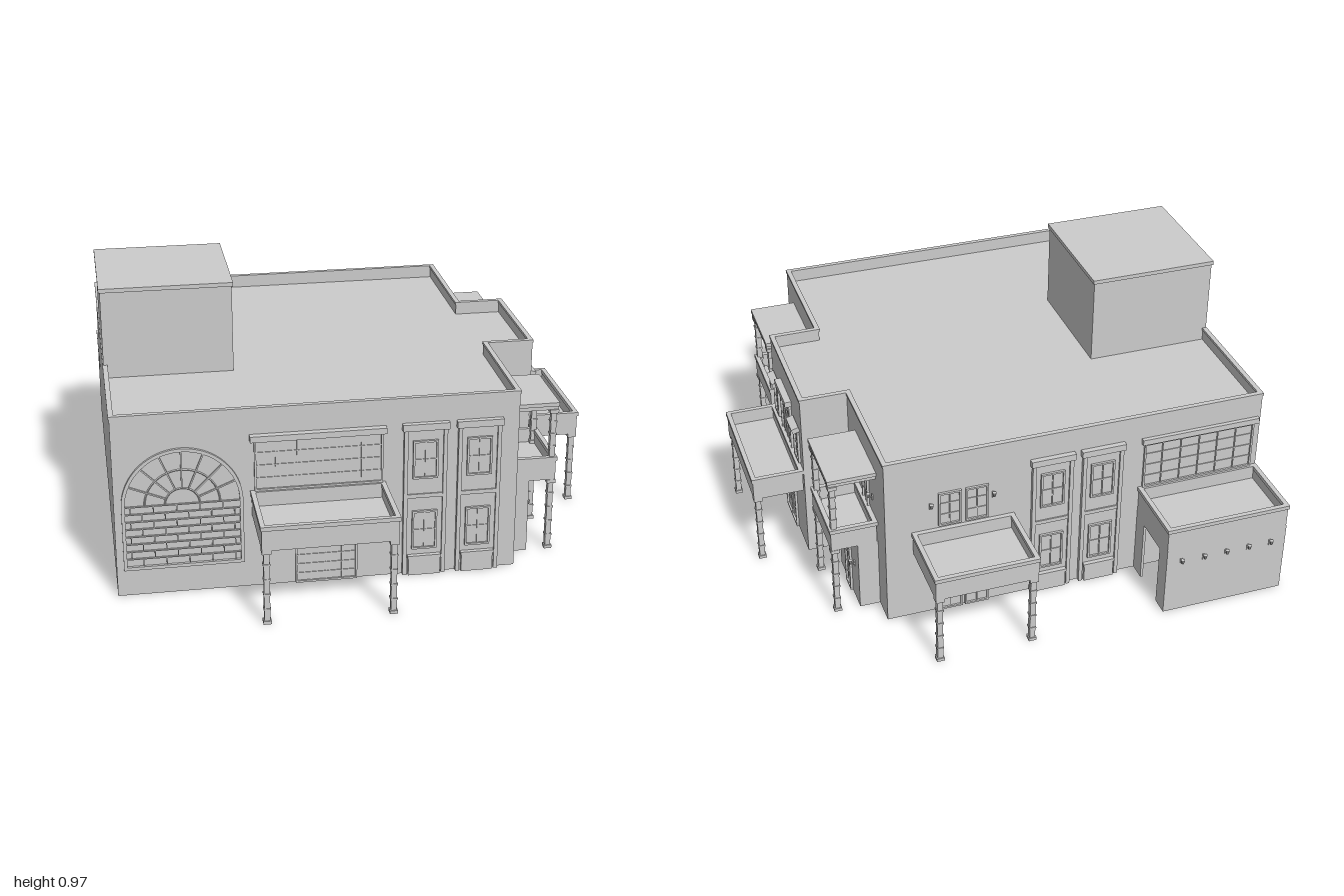
import * as THREE from 'three';

const mat = new THREE.MeshStandardMaterial({ color: 0xcccccc, flatShading: true, side: THREE.DoubleSide });

function add(parent, geo, name) {
  const m = new THREE.Mesh(geo, mat);
  m.name = name;
  parent.add(m);
  return m;
}

// Box given by its limits on each axis
function box(parent, name, x0, x1, y0, y1, z0, z1) {
  const m = add(parent, new THREE.BoxGeometry(x1 - x0, y1 - y0, z1 - z0), name);
  m.position.set((x0 + x1) / 2, (y0 + y1) / 2, (z0 + z1) / 2);
  return m;
}

function group(parent, name) {
  const g = new THREE.Group();
  g.name = name;
  parent.add(g);
  return g;
}

// Local frame on a wall: x along it, y up, z outward
function wall(parent, name, x, z, angle) {
  const g = group(parent, name);
  g.position.set(x, 0, z);
  g.rotation.y = angle;
  return g;
}

// Floor plan (x, z) extruded upward, with an optional hole
function plan(parent, name, pts, y0, y1, hole) {
  const toVec = p => new THREE.Vector2(p[0], -p[1]);
  const s = new THREE.Shape(pts.map(toVec));
  if (hole) s.holes.push(new THREE.Path(hole.map(toVec)));
  const geo = new THREE.ExtrudeGeometry(s, { depth: y1 - y0, bevelEnabled: false });
  geo.rotateX(-Math.PI / 2);
  add(parent, geo, name).position.y = y0;
}

const rect = (x0, x1, z0, z1, i = 0) => [[x0 + i, z0 + i], [x1 - i, z0 + i], [x1 - i, z1 - i], [x0 + i, z1 - i]];

// Deck with a low parapet and coping
function deck(parent, name, x0, x1, z0, z1) {
  const g = group(parent, name);
  box(g, 'deckFloor', x0 + 0.004, x1 - 0.004, 0.28, 0.315, z0 + 0.004, z1 - 0.004);
  plan(g, 'deckParapet', rect(x0 + 0.004, x1 - 0.004, z0 + 0.004, z1 - 0.004), 0.28, 0.355, rect(x0, x1, z0, z1, 0.014));
  plan(g, 'deckCoping', rect(x0, x1, z0, z1), 0.355, 0.37, rect(x0, x1, z0, z1, 0.017));
}

// Banded square post
function column(parent, x, z, y0, y1) {
  const g = group(parent, 'column');
  const part = (name, w, a, b) => box(g, name, x - w, x + w, a, b, z - w, z + w);
  part('columnShaft', 0.01, y0, y1);
  part('columnBase', 0.014, y0, y0 + 0.012);
  part('columnCapital', 0.016, y1 - 0.014, y1);
  for (let i = 1; i < 5; i++) {
    const y = y0 + (y1 - y0) * i / 5;
    part('columnBand', 0.0125, y - 0.003, y + 0.003);
  }
}

// Wall lamp: plate, arm, flared shade
function lamp(w, x, y, z = 0) {
  const g = group(w, 'wallLamp');
  g.position.set(x, y, z);
  box(g, 'lampPlate', -0.004, 0.004, -0.012, 0.012, 0, 0.004);
  box(g, 'lampArm', -0.002, 0.002, -0.002, 0.002, 0, 0.016);
  add(g, new THREE.CylinderGeometry(0.008, 0.004, 0.016, 8), 'lampShade').position.set(0, 0.008, 0.016);
}

// Frame with a grid of glazing bars, and optional cornice
function windowGrid(w, name, x0, x1, y0, y1, cols, rows, z = 0) {
  const g = group(w, name);
  const t = 0.007, zo = z + 0.009;
  box(g, 'windowPane', x0, x1, y0, y1, z, z + 0.002);
  for (const x of [x0, x1 - t]) box(g, 'frameSide', x, x + t, y0, y1, z, zo);
  for (const y of [y0, y1 - t]) box(g, 'frameRail', x0 + t, x1 - t, y, y + t, z, zo);
  for (let i = 1; i < cols; i++) {
    const x = x0 + (x1 - x0) * i / cols;
    box(g, 'verticalBar', x - 0.002, x + 0.002, y0 + t, y1 - t, z, z + 0.006);
  }
  for (let i = 1; i < rows; i++) {
    const y = y0 + (y1 - y0) * i / rows;
    box(g, 'crossBar', x0 + t, x1 - t, y - 0.002, y + 0.002, z, z + 0.005);
  }
}

// Tall shallow bay holding two windows and a planter
function windowBay(w, cx) {
  const g = group(w, 'windowBay');
  g.position.x = cx;
  box(g, 'bayPanel', -0.075, 0.075, 0, 0.56, 0, 0.007);
  for (const s of [-1, 1]) box(g, 'bayPilaster', s * 0.07 - 0.007, s * 0.07 + 0.007, 0, 0.56, 0, 0.015);
  box(g, 'bayCornice', -0.083, 0.083, 0.56, 0.585, 0, 0.02);
  box(g, 'bayMidBand', -0.063, 0.063, 0.3, 0.315, 0.007, 0.012);
  windowGrid(g, 'upperWindow', -0.045, 0.045, 0.375, 0.52, 2, 2, 0.007);
  windowGrid(g, 'lowerWindow', -0.045, 0.045, 0.1, 0.25, 2, 2, 0.007);
  box(g, 'planter', -0.057, 0.057, 0, 0.07, 0.007, 0.02);
  box(g, 'planterRim', -0.06, 0.06, 0.066, 0.077, 0.007, 0.023);
}

// Arched window outline
function archShape(r, h, C = THREE.Shape) {
  const s = new C();
  s.moveTo(-r, -h);
  s.lineTo(r, -h);
  s.lineTo(r, 0);
  s.absarc(0, 0, r, 0, Math.PI, false);
  s.lineTo(-r, -h);
  return s;
}

function archWindow(w) {
  const g = group(w, 'archWindow');
  g.position.set(-0.66, 0.34, 0);
  const frame = archShape(0.21, 0.24);
  frame.holes.push(archShape(0.198, 0.228, THREE.Path));
  add(g, new THREE.ExtrudeGeometry(frame, { depth: 0.01, bevelEnabled: false, curveSegments: 24 }), 'archFrame');
  for (let i = 1; i < 8; i++) {
    const a = Math.PI * i / 8;
    const bar = add(g, new THREE.BoxGeometry(0.14, 0.005, 0.006), 'fanBar');
    bar.position.set(Math.cos(a) * 0.13, Math.sin(a) * 0.13, 0.003);
    bar.rotation.z = a;
  }
  for (const r of [0.06, 0.13]) add(g, new THREE.TorusGeometry(r, 0.003, 4, 24, Math.PI), 'fanRing').position.z = 0.003;
  for (let i = 0; i < 8; i++) {
    const y = -i * 0.0285;
    box(g, 'slat', -0.198, 0.198, y - 0.002, y + 0.002, 0, 0.006);
    for (let j = -2; j <= 2; j++) {
      const x = j * 0.08 + (i % 2 ? 0.02 : -0.02);
      box(g, 'slatJoint', x - 0.002, x + 0.002, y - 0.0285, y, 0, 0.005);
    }
  }
}

export function createModel() {
  const model = new THREE.Group();
  model.name = 'building';

  // Main body, roof parapet and coping, following a stepped plan
  const outline = i => [
    [-0.895 + i, 0.715 - i], [0.525 - i, 0.715 - i], [0.525 - i, 0.24 - i], [0.7 - i, 0.24 - i],
    [0.7 - i, -0.23 + i], [0.525 - i, -0.23 + i], [0.525 - i, -0.705 + i], [-0.895 + i, -0.705 + i]];
  plan(model, 'mainBody', outline(0), 0, 0.63);
  plan(model, 'roofParapet', outline(0), 0.63, 0.67, outline(0.012));
  plan(model, 'roofCoping', outline(-0.003), 0.67, 0.68, outline(0.015));

  // Roof tower
  box(model, 'roofTower', -0.895, -0.425, 0.63, 0.955, -0.225, 0.24);
  box(model, 'towerCap', -0.9, -0.42, 0.955, 0.97, -0.23, 0.245);

  // Front wall and porch
  const front = wall(model, 'frontWall', 0, 0.715, 0);
  archWindow(front);
  for (const x of [0.19, 0.383]) windowBay(front, x);
  windowGrid(front, 'porchUpperWindow', -0.41, 0.04, 0.37, 0.56, 6, 4);
  box(front, 'porchWindowHood', -0.425, 0.05, 0.56, 0.582, 0, 0.025);
  windowGrid(front, 'porchDoors', -0.27, -0.05, 0, 0.25, 4, 7);
  for (const x of [-0.355, -0.015]) lamp(front, x, 0.16);
  deck(model, 'frontPorch', -0.425, 0.05, 0.715, 1);
  for (const x of [-0.405, 0.03]) column(model, x, 0.98, 0, 0.28);

  // Back wall and balcony
  const back = wall(model, 'backWall', 0, -0.705, Math.PI);
  for (const x of [0.28, 0.09]) windowBay(back, x);
  windowGrid(back, 'annexUpperWindow', 0.44, 0.87, 0.37, 0.56, 6, 4);
  box(back, 'annexWindowHood', 0.43, 0.885, 0.56, 0.582, 0, 0.015);
  for (const x of [-0.29, -0.19]) {
    windowGrid(back, 'balconyWindow', x - 0.042, x + 0.042, 0.38, 0.52, 2, 3);
    windowGrid(back, 'balconyDoor', x - 0.045, x + 0.045, 0, 0.24, 2, 4);
  }
  for (const x of [-0.36, -0.13]) for (const y of [0.17, 0.47]) lamp(back, x, y);
  deck(model, 'backBalcony', 0.05, 0.43, -0.98, -0.705);
  for (const x of [0.07, 0.41]) column(model, x, -0.96, 0, 0.28);

  // Annex shell at the back, open below, with a side doorway
  const annex = group(model, 'annex');
  deck(annex, 'annexRoof', -0.897, -0.425, -0.98, -0.705);
  box(annex, 'annexBackWall', -0.895, -0.43, 0, 0.28, -0.976, -0.966);
  box(annex, 'annexOuterWall', -0.895, -0.885, 0, 0.28, -0.966, -0.705);
  box(annex, 'doorwayPier', -0.44, -0.43, 0, 0.28, -0.966, -0.91);
  box(annex, 'doorwayPier', -0.44, -0.43, 0, 0.28, -0.77, -0.705);
  box(annex, 'doorwayLintel', -0.44, -0.43, 0.24, 0.28, -0.91, -0.77);
  for (let i = 0; i < 5; i++) lamp(back, 0.485 + i * 0.087, 0.22, 0.27);

  // Centre bay of the side, with its balcony
  const bay = wall(model, 'centreBayWall', 0.7, 0.005, Math.PI / 2);
  windowGrid(bay, 'balconyDoor', -0.078, 0.078, 0.32, 0.56, 4, 4);
  box(bay, 'balconyDoorHood', -0.085, 0.085, 0.558, 0.58, 0, 0.025);
  windowGrid(bay, 'groundDoors', -0.08, 0.08, 0, 0.25, 2, 4);
  for (const s of [-1, 1]) {
    windowGrid(bay, 'sideWindow', s * 0.16 - 0.035, s * 0.16 + 0.035, 0.38, 0.51, 2, 2);
    box(bay, 'windowHood', s * 0.16 - 0.043, s * 0.16 + 0.043, 0.52, 0.54, 0, 0.028).rotation.x = 0.3;
    lamp(bay, s * 0.105, 0.24);
  }
  deck(model, 'centreBalcony', 0.7, 0.895, -0.23, 0.24);
  for (const z of [-0.21, 0.22]) column(model, 0.875, z, 0, 0.28);

  // Matching two-storey porches either side of the centre bay
  for (const z of [0.48, -0.47]) {
    const porch = group(model, 'cornerPorch');
    deck(porch, 'porchDeck', 0.525, 0.7, z - 0.14, z + 0.14);
    box(porch, 'groundStorey', 0.525, 0.6, 0, 0.28, z - 0.135, z + 0.135);
    box(porch, 'porchRoof', 0.525, 0.697, 0.553, 0.57, z - 0.132, z + 0.132);
    box(porch, 'porchRoofCap', 0.525, 0.7, 0.568, 0.582, z - 0.138, z + 0.138);
    for (const s of [-1, 1]) {
      column(porch, 0.682, z + s * 0.122, 0, 0.28);
      column(porch, 0.682, z + s * 0.122, 0.315, 0.555);
    }
    const lower = wall(porch, 'lowerPorchWall', 0.6, z, Math.PI / 2);
    windowGrid(lower, 'porchDoor', -0.035, 0.035, 0, 0.19, 2, 4);
    const upper = wall(porch, 'upperPorchWall', 0.525, z, Math.PI / 2);
    windowGrid(upper, 'upperPorchDoor', -0.035, 0.035, 0.315, 0.51, 2, 4);
    for (const x of [-0.08, 0.08]) {
      lamp(lower, x, 0.16);
      lamp(upper, x, 0.44);
    }
  }
  return model;
}
